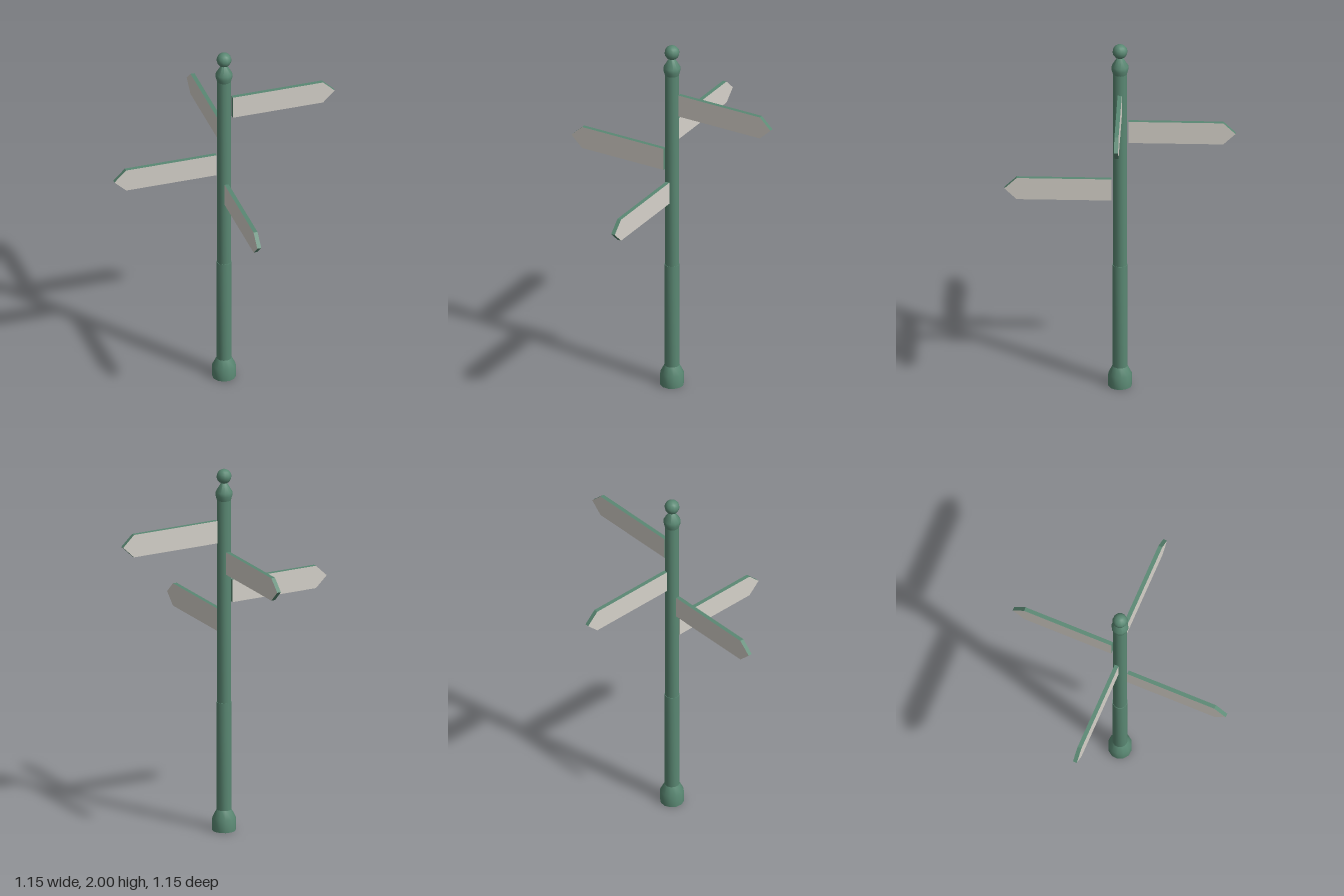
import * as THREE from 'three';
import { toCreasedNormals } from 'three/addons/utils/BufferGeometryUtils.js';

const green = new THREE.MeshStandardMaterial({ color: 0x5a8873 });
green.name = 'green paint';
const pale = new THREE.MeshStandardMaterial({ color: 0xd6d2ca });
pale.name = 'pale board';

const SIDES = 12;

function lathe(name, profile) {
  const points = profile.map(([r, y]) => new THREE.Vector2(r, y));
  const geometry = toCreasedNormals(new THREE.LatheGeometry(points, SIDES), 0.75);
  const mesh = new THREE.Mesh(geometry, green);
  mesh.name = name;
  return mesh;
}

// Pointed board reaching out along +x, pale faces and green rim
function createSign(name, y, angle) {
  const start = 0.045, shoulder = 0.545, tip = 0.61, half = 0.062, depth = 0.022;
  const shape = new THREE.Shape([
    [start, -half], [shoulder, -half], [tip, 0], [shoulder, half], [start, half],
  ].map(([px, py]) => new THREE.Vector2(px, py)));
  const geometry = new THREE.ExtrudeGeometry(shape, { depth, bevelEnabled: false });
  geometry.translate(0, 0, -depth / 2);
  const sign = new THREE.Mesh(geometry, [pale, green]);
  sign.name = name;
  sign.position.y = y;
  sign.rotation.y = angle;
  return sign;
}

export function createModel() {
  const model = new THREE.Group();
  model.name = 'signpost';

  // Foot with sloped shoulder
  model.add(lathe('foot', [[0, 0], [0.063, 0], [0.063, 0.07], [0.04, 0.115], [0, 0.115]]));

  // Slightly thicker lower shaft, slimmer upper shaft
  model.add(lathe('lowerPost', [[0.04, 0.1], [0.04, 0.71], [0, 0.71]]));
  model.add(lathe('upperPost', [[0.038, 0.7], [0.038, 1.84], [0, 1.84]]));

  // Flared collar with conical top
  model.add(lathe('collar', [
    [0, 1.83], [0.038, 1.83], [0.045, 1.855], [0.045, 1.875], [0.015, 1.925], [0, 1.93],
  ]));

  // Ball finial
  const ball = new THREE.Mesh(new THREE.SphereGeometry(0.04, SIDES, 8), green);
  ball.name = 'ballFinial';
  ball.position.y = 1.96;
  model.add(ball);

  // Four boards stepping down, each a quarter turn on
  for (let i = 0; i < 4; i++) {
    const angle = THREE.MathUtils.degToRad(20 + 90 * i);
    model.add(createSign(`sign${i + 1}`, 1.66 - 0.17 * i, angle));
  }
  return model;
}
